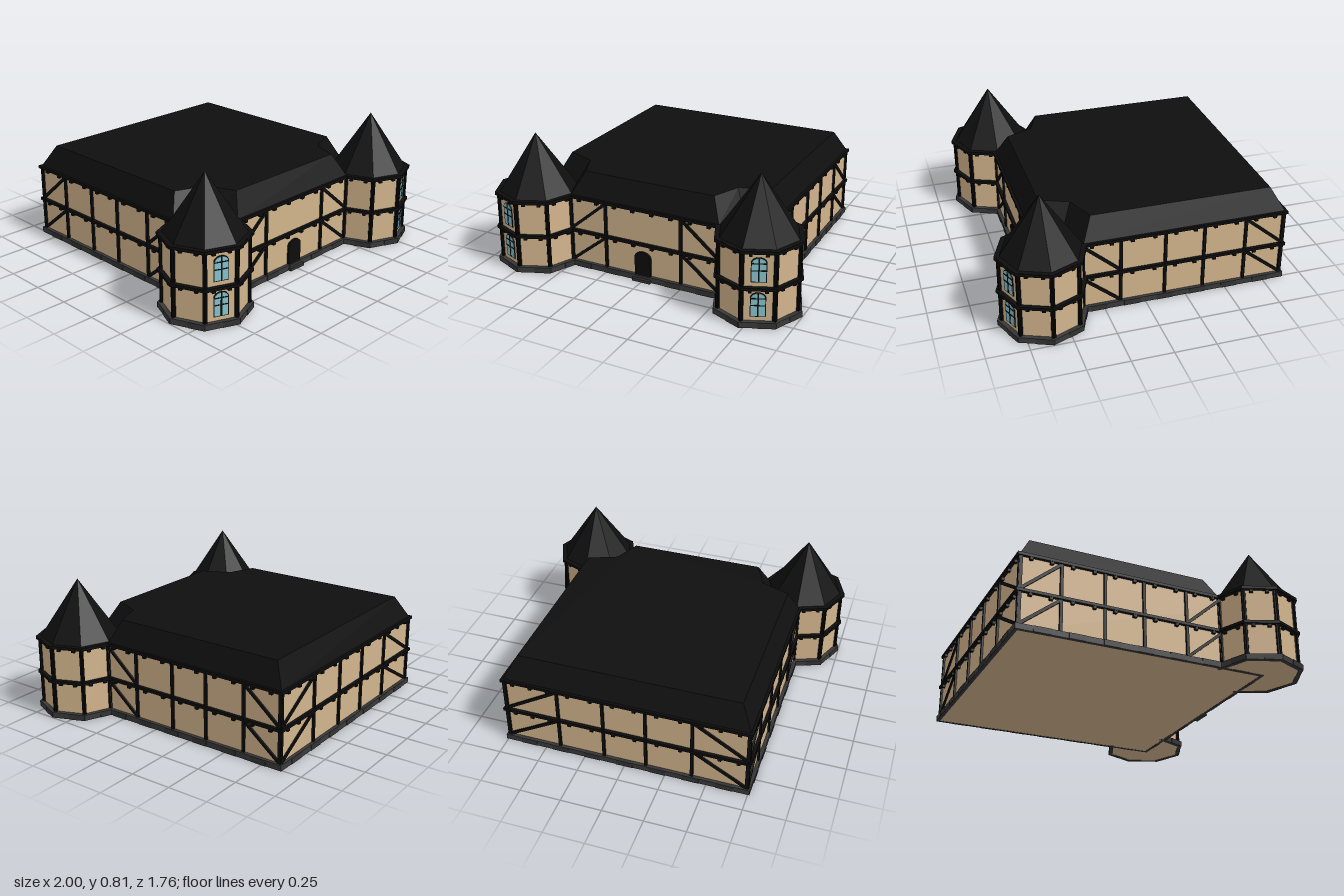
import * as THREE from 'three';

const mat = (name, color) => {
  const m = new THREE.MeshStandardMaterial({ color });
  m.name = name;
  return m;
};
const PLASTER = mat('plaster', 0xd2b48c);
const TIMBER = mat('timber', 0x0d0d0d);
const ROOF = mat('roof slate', 0x0f0f0f);
const STONE = [mat('stone', 0x3a3a3a), mat('dark stone', 0x333333)];
const GLASS = mat('glass', 0x87c4cf);

const FLOOR_Y = [0.235, 0.4535]; // heights of the two horizontal beams
const flat = (g) => { const f = g.toNonIndexed(); f.computeVertexNormals(); return f; };

function add(parent, name, geo, material, x = 0, y = 0, z = 0) {
  const m = new THREE.Mesh(geo, material);
  m.name = name;
  m.position.set(x, y, z);
  parent.add(m);
  return m;
}
const box = (parent, name, w, h, d, material, x, y, z) =>
  add(parent, name, new THREE.BoxGeometry(w, h, d), material, x, y, z);

// Arched plate standing on y = 0, facing +z
function arch(w, h, d, rise = w / 2) {
  const s = new THREE.Shape();
  s.moveTo(-w / 2, 0);
  s.lineTo(w / 2, 0);
  s.lineTo(w / 2, h - rise);
  s.absellipse(0, h - rise, w / 2, rise, 0, Math.PI, false);
  s.lineTo(-w / 2, 0);
  return new THREE.ExtrudeGeometry(s, { depth: d, bevelEnabled: false, curveSegments: 8 });
}

function arrayBetween(a, b, n, fn) {
  for (let i = 0; i < n; i++) fn(a + (b - a) * (i + 0.5) / n, i);
}

// Timber dressing of one wall; local x runs along the wall, local z points out.
// stops are distances along the wall, braces are [high end, low end] pairs.
function dressWall(parent, name, p0, p1, { depth, miter, stops, braces = [] }) {
  const dx = p1[0] - p0[0], dz = p1[1] - p0[1], len = Math.hypot(dx, dz);
  const g = new THREE.Group();
  g.name = name;
  g.position.set(p0[0], 0, p0[1]);
  g.rotation.y = Math.atan2(-dz, dx);
  parent.add(g);

  const ext = depth * miter;
  const n = Math.round((len + 2 * ext) / 0.1);
  const stoneW = (len + 2 * ext) / n;
  arrayBetween(-ext, len + ext, n, (x, i) => {
    const d = depth + (i % 2) * 0.003;
    box(g, 'baseStone', stoneW, 0.035, d, STONE[i % 2], x, 0.0175, d / 2);
  });
  for (const y of FLOOR_Y) {
    box(g, 'beam', len + 2 * ext, 0.018, depth, TIMBER, len / 2, y, depth / 2);
    for (let i = 0; i + 1 < stops.length; i++) {
      const a = stops[i], b = stops[i + 1];
      arrayBetween(a, b, Math.max(1, Math.round((b - a) / 0.12)), (x) =>
        box(g, 'bracket', 0.02, 0.018, 0.018, TIMBER, x, y - 0.016, 0.009));
    }
  }
  for (const s of stops) box(g, 'post', 0.018, 0.42, 0.024, TIMBER, s, 0.24, 0);
  for (const [hi, lo] of braces) {
    for (const [y0, y1] of [[0.035, 0.226], [0.244, 0.445]]) {
      const b = box(g, 'brace', Math.hypot(hi - lo, y1 - y0), 0.018, 0.016, TIMBER,
        (hi + lo) / 2, (y0 + y1) / 2, 0.002);
      b.rotation.z = Math.atan2(y1 - y0, hi - lo);
    }
  }
  return g;
}

// Arched window with a frame and glazing bars
function addWindow(wall, x, y) {
  const g = new THREE.Group();
  g.name = 'window';
  g.position.set(x, y, 0);
  wall.add(g);
  add(g, 'windowFrame', arch(0.088, 0.148, 0.004, 0.035), TIMBER);
  add(g, 'windowPane', arch(0.078, 0.138, 0.003, 0.031), GLASS, 0, 0.005, 0.003);
  box(g, 'glazingBar', 0.008, 0.14, 0.004, TIMBER, 0, 0.074, 0.006);
  for (const h of [0.07, 0.112]) box(g, 'glazingBar', 0.08, 0.006, 0.004, TIMBER, 0, h, 0.006);
}

function addTower(parent, side) {
  const g = new THREE.Group();
  g.name = side > 0 ? 'leftTower' : 'rightTower';
  g.position.set(0.73 * side, 0, 0.61);
  parent.add(g);
  const R = 0.24;
  add(g, 'towerWall', flat(new THREE.CylinderGeometry(R, R, 0.446, 8)), PLASTER, 0, 0.225, 0);
  add(g, 'towerEave', flat(new THREE.CylinderGeometry(0.262, 0.262, 0.018, 8)), TIMBER, 0, 0.454, 0);
  add(g, 'towerRoof', flat(new THREE.ConeGeometry(0.238, 0.352, 8)), ROOF, 0, 0.636, 0);

  const hidden = side > 0 ? [4, 5] : [2, 3]; // faces buried in the hall
  const windowFace = side > 0 ? 0 : 7;
  const corner = (k) => [R * Math.sin(k * Math.PI / 4), R * Math.cos(k * Math.PI / 4)];
  for (let k = 0; k < 8; k++) {
    if (hidden.includes(k)) continue;
    const len = 2 * R * Math.sin(Math.PI / 8);
    const wall = dressWall(g, 'towerFace', corner(k), corner(k + 1),
      { depth: 0.025, miter: Math.tan(Math.PI / 8), stops: [0, len] });
    if (k === windowFace) for (const y of [0.06, 0.27]) addWindow(wall, len / 2, y);
  }
}

// Flat-topped hall roof, notched around the towers
function hallRoof() {
  const low = [[0.49, 0.625], [0.56, 0.44], [0.745, 0.37], [0.745, -0.865]];
  const high = [[0.425, 0.55], [0.497, 0.38], [0.675, 0.31], [0.675, -0.79]];
  const loop = (half, y) => [...half, ...half.slice().reverse().map(([x, z]) => [-x, z])]
    .map(([x, z]) => new THREE.Vector3(x, y, z));
  const b = loop(low, 0.46), t = loop(high, 0.597);
  const pts = [];
  b.forEach((p, i) => {
    const j = (i + 1) % b.length;
    pts.push(p, b[j], t[j], p, t[j], t[i]);
  });
  const outline = t.map((p) => new THREE.Vector2(p.x, -p.z));
  for (const f of THREE.ShapeUtils.triangulateShape(outline, [])) pts.push(...f.map((i) => t[i]));
  const geo = new THREE.BufferGeometry().setFromPoints(pts);
  geo.computeVertexNormals();
  return geo;
}

export function createModel() {
  const model = new THREE.Group();
  model.name = 'timberFramedManor';

  // Hall body and roof
  const X = 0.74, F = 0.62, B = -0.86, L = 1.48;
  box(model, 'hallWalls', 2 * X, 0.452, F - B, PLASTER, 0, 0.227, (F + B) / 2);
  add(model, 'hallRoof', hallRoof(), ROOF);

  // Hall walls
  const opts = { depth: 0.02, miter: 1 };
  const sideStops = [0.24, 0.47, 0.74, 0.98, 1.24, L];
  const sideBraces = [[0.24, 0.47], [1.24, L]];
  const flip = (s) => L - s;
  dressWall(model, 'frontWall', [-X, F], [X, F],
    { ...opts, stops: [0.25, 0.49, 0.99, 1.23], braces: [[0.49, 0.25], [0.99, 1.23]] });
  dressWall(model, 'leftWall', [X, F], [X, B], { ...opts, stops: sideStops, braces: sideBraces });
  dressWall(model, 'rightWall', [-X, B], [-X, F],
    { ...opts, stops: sideStops.map(flip).reverse(), braces: sideBraces.map((p) => p.map(flip)) });
  dressWall(model, 'backWall', [X, B], [-X, B],
    { ...opts, stops: [0, 0.33, 0.61, 0.87, 1.15, L], braces: [[0.33, 0], [1.15, L]] });

  // Corner towers
  for (const side of [1, -1]) addTower(model, side);

  // Front door and step
  add(model, 'door', arch(0.105, 0.155, 0.014, 0.035), TIMBER, 0, 0.03, F);
  box(model, 'doorStep', 0.12, 0.018, 0.04, STONE[1], 0, 0.009, F + 0.02);
  return model;
}
